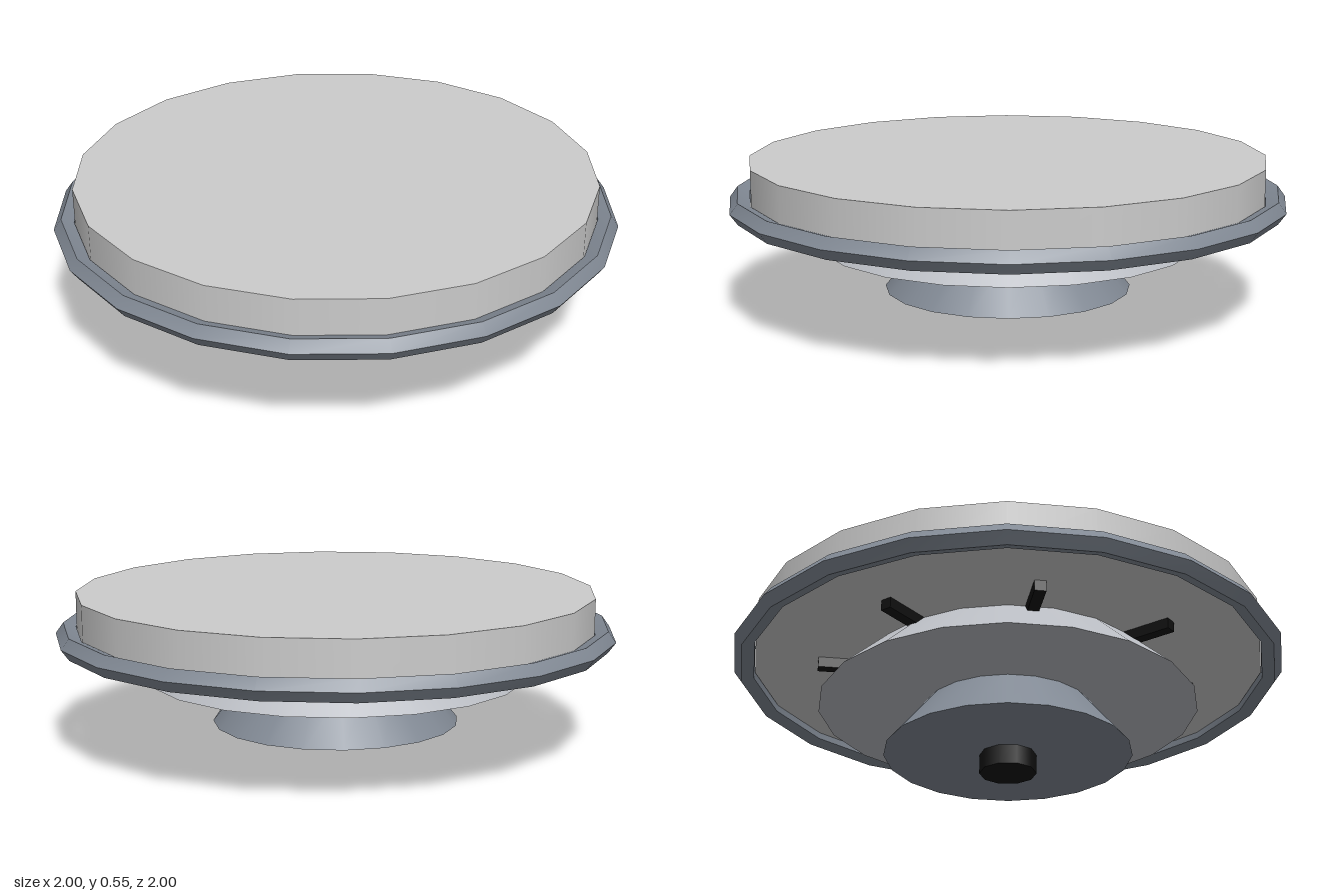
import * as THREE from 'three';
import { toCreasedNormals } from 'three/addons/utils/BufferGeometryUtils.js';

const SIDES = 20;

export function createModel() {
  const model = new THREE.Group();
  model.name = 'tieredDisc';

  const material = (color) => new THREE.MeshStandardMaterial({ color });
  const light = material(0xcccccc);
  const pale = material(0xb8bbc1);
  const steel = material(0x818994);
  const black = material(0x111111);

  // Round tier standing between two heights
  function tier(name, topRadius, bottomRadius, y0, y1, mat, sides = SIDES) {
    const mesh = new THREE.Mesh(
      new THREE.CylinderGeometry(topRadius, bottomRadius, y1 - y0, sides), mat);
    mesh.position.y = (y0 + y1) / 2;
    mesh.name = name;
    model.add(mesh);
  }

  // Stacked tiers from the top down
  tier('topDisc', 0.925, 0.925, 0.4, 0.55, light);
  tier('upperCone', 0.515, 0.685, 0.243, 0.4, pale);
  tier('lowerCone', 0.305, 0.445, 0.07, 0.243, steel);
  tier('bottomPlug', 0.102, 0.102, 0, 0.09, black, 10);

  // Five-sided rim around the lower edge of the disc
  const rimGeometry = new THREE.TorusGeometry(0.96, 0.04, 5, SIDES).rotateX(Math.PI / 2);
  const rim = new THREE.Mesh(toCreasedNormals(rimGeometry, Math.PI / 6), steel);
  rim.position.y = 0.4;
  rim.name = 'rim';
  model.add(rim);

  // Eight small struts radiating under the disc
  const struts = new THREE.Group();
  struts.name = 'struts';
  const strutGeometry = new THREE.BoxGeometry(0.04, 0.04, 0.3).translate(0, 0.382, 0.54);
  for (let i = 0; i < 8; i++) {
    const strut = new THREE.Mesh(strutGeometry, black);
    strut.rotation.y = (i * Math.PI) / 4;
    strut.name = 'strut';
    struts.add(strut);
  }
  model.add(struts);

  return model;
}
